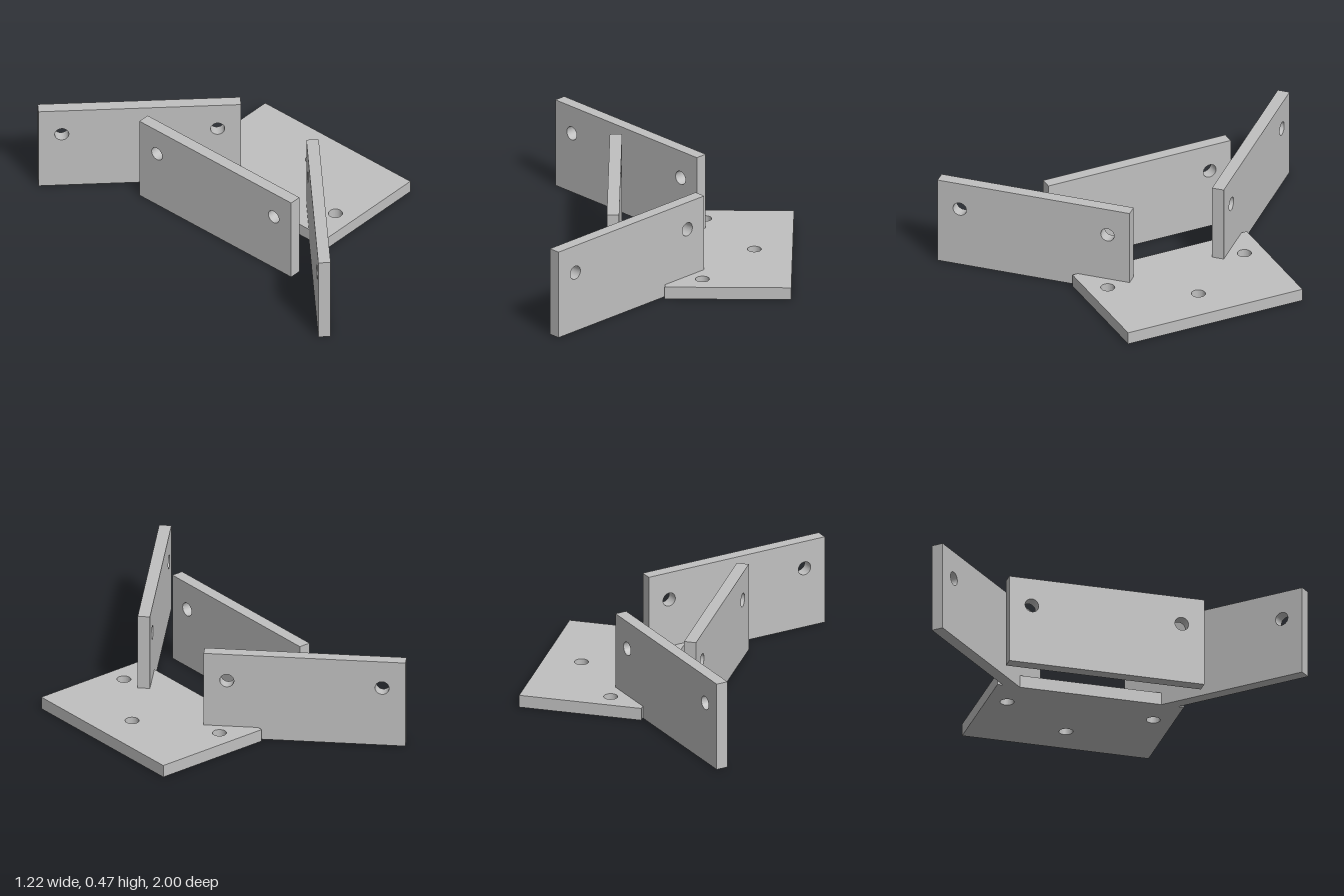
import * as THREE from 'three';

const grey = new THREE.MeshStandardMaterial({ color: 0xc0c0c0 });
grey.name = 'plain grey';

const HOLE_RADIUS = 0.036;
const THICKNESS = 0.063;

// Flat rectangular plate in the XY plane, centred in depth, with round through-holes
function drilledPlate(name, width, height, thickness, holes) {
  const shape = new THREE.Shape();
  const w = width / 2, h = height / 2;
  shape.moveTo(-w, -h);
  shape.lineTo(w, -h);
  shape.lineTo(w, h);
  shape.lineTo(-w, h);
  shape.closePath();
  for (const [x, y] of holes) {
    const hole = new THREE.Path();
    hole.absarc(x, y, HOLE_RADIUS, 0, Math.PI * 2, true);
    shape.holes.push(hole);
  }
  const geometry = new THREE.ExtrudeGeometry(shape, {
    depth: thickness, bevelEnabled: false, curveSegments: 32,
  });
  geometry.translate(0, 0, -thickness / 2);
  const mesh = new THREE.Mesh(geometry, grey);
  mesh.name = name;
  return mesh;
}

// Upright plate standing on the ground, with a hole near each upper corner
function uprightPlate(name, x, z, angle) {
  const height = 0.475;
  const plate = drilledPlate(name, 1.035, height, THICKNESS, [[-0.398, 0.088], [0.398, 0.088]]);
  plate.position.set(x, height / 2, z);
  plate.rotation.y = angle;
  return plate;
}

export function createModel() {
  const model = new THREE.Group();
  model.name = 'plateAssembly';

  // Base plate lying flat, with three holes
  const base = drilledPlate('basePlate', 0.645, 0.99, 0.066,
    [[-0.132, 0.388], [-0.132, -0.388], [0.127, 0]]);
  base.rotation.x = -Math.PI / 2;
  base.position.set(0.288, 0.033, 0);
  model.add(base);

  // Two mirrored diagonal wings and the cross plate between them
  model.add(uprightPlate('frontWingPlate', -0.225, 0.611, Math.PI / 4));
  model.add(uprightPlate('backWingPlate', -0.225, -0.611, -Math.PI / 4));
  model.add(uprightPlate('crossPlate', -0.298, 0, Math.PI / 2));

  return model;
}
